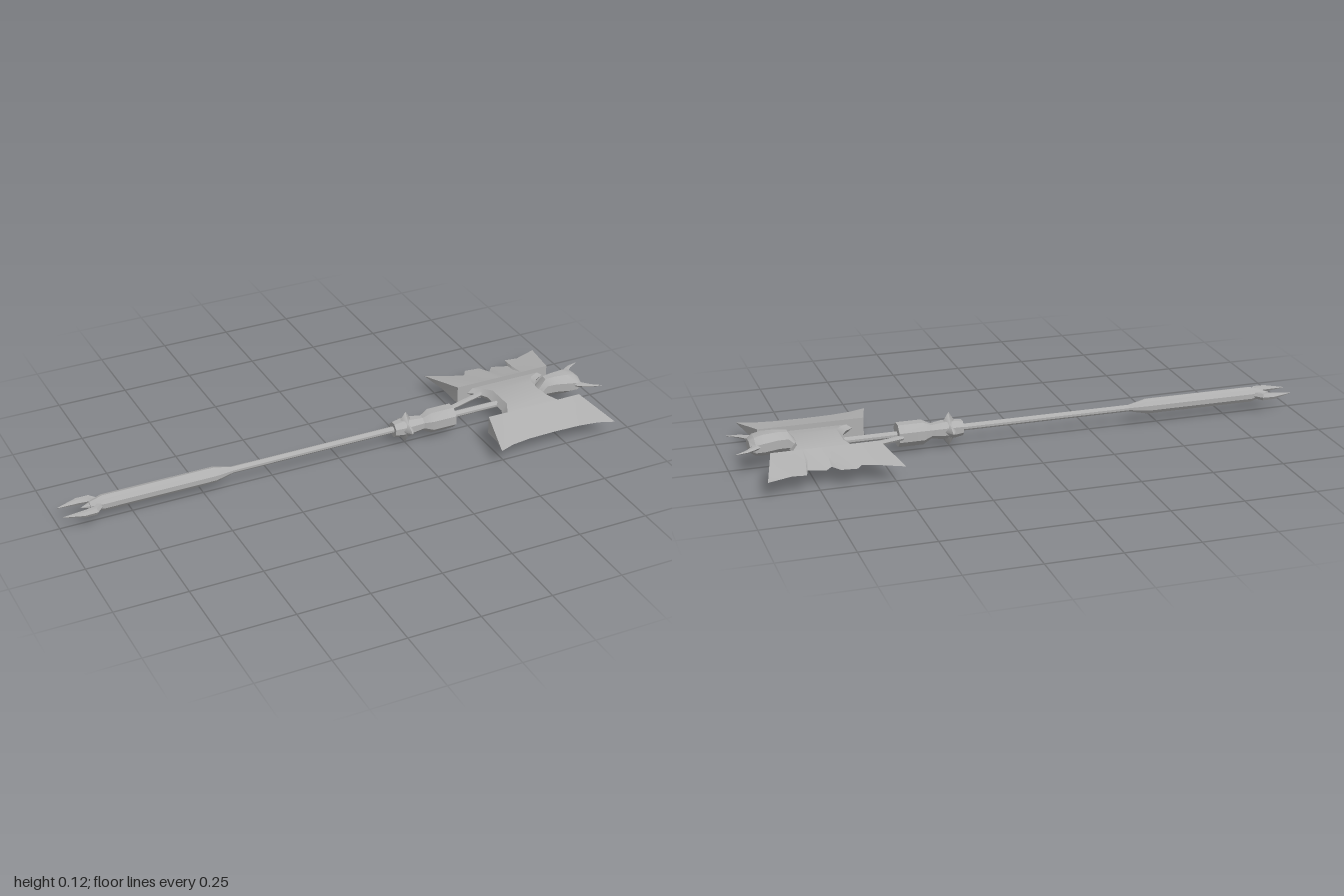
import * as THREE from 'three';
import { toCreasedNormals } from 'three/addons/utils/BufferGeometryUtils.js';

const AXIS = 0.063; // height of the shaft's centre line

// Closed solid through rings of [x, y, z] points, capped at both ends.
function loft(rings, crease = 0.6) {
  const n = rings[0].length, pos = rings.flat(2), idx = [];
  for (let r = 0; r < rings.length - 1; r++) {
    for (let i = 0; i < n; i++) {
      const a = r * n + i, b = r * n + (i + 1) % n;
      idx.push(a, b, a + n, b, b + n, a + n);
    }
  }
  const last = (rings.length - 1) * n;
  for (let i = 1; i < n - 1; i++) idx.push(0, i + 1, i, last, last + i, last + i + 1);
  // Turn all faces outward
  const v = i => new THREE.Vector3().fromArray(pos, i * 3);
  let volume = 0;
  for (let i = 0; i < idx.length; i += 3) volume += v(idx[i]).dot(v(idx[i + 1]).cross(v(idx[i + 2])));
  if (volume < 0) idx.reverse();
  const g = new THREE.BufferGeometry();
  g.setAttribute('position', new THREE.Float32BufferAttribute(pos, 3));
  g.setIndex(idx);
  return toCreasedNormals(g, crease);
}

// Turned part along x from [x, radius] pairs.
function turned(profile, sides) {
  const g = new THREE.LatheGeometry(profile.map(([x, r]) => new THREE.Vector2(r, x)), sides);
  g.rotateY(Math.PI / sides).rotateZ(-Math.PI / 2).scale(1, -1, -1).translate(0, AXIS, 0);
  return toCreasedNormals(g, 0.6);
}

// Tapered prong in a level plane through [x, z, radius] points.
function prong(points, y, flat = 1) {
  return loft(points.map(([x, z, r], i) => {
    const p = points[Math.max(i - 1, 0)], q = points[Math.min(i + 1, points.length - 1)];
    const d = new THREE.Vector2(q[0] - p[0], q[1] - p[1]).normalize();
    return Array.from({ length: 6 }, (_, k) => {
      const a = k * Math.PI / 3, s = Math.cos(a) * r;
      return [x - d.y * s, y + Math.sin(a) * r * flat, z + d.x * s];
    });
  }));
}

// Wedge blade from its cutting edge, given as [x, distance from the shaft].
function blade(edge, side) {
  const mid = 0.699, inner = 0.112, thick = 0.032;
  return loft(edge.map(([x, z]) => {
    const t = (x - mid) / 0.224;
    const xi = mid + t * 0.181, xm = mid + t * 0.195, zm = (inner + z) / 2;
    return [
      [xi, AXIS - 0.001 + thick, inner * side], [xm, AXIS - 0.001 + thick / 2, zm * side],
      [x, AXIS, z * side],
      [xm, AXIS - 0.001 - thick / 2, zm * side], [xi, AXIS - 0.001 - thick, inner * side]
    ];
  }), 0.5);
}

export function createModel() {
  const model = new THREE.Group();
  const steel = new THREE.MeshStandardMaterial({ color: 0xb0b0b0 });
  steel.name = 'grey';
  const add = (name, geometry) => {
    const mesh = new THREE.Mesh(geometry, steel);
    mesh.name = name;
    model.add(mesh);
    return mesh;
  };

  // Handle
  add('shaft', turned([[-0.45, 0], [-0.45, 0.012], [0.65, 0.012], [0.65, 0]], 10));
  add('grip', turned([[-0.90, 0], [-0.895, 0.014], [-0.85, 0.027], [-0.46, 0.027], [-0.395, 0.012], [-0.395, 0]], 10));
  add('buttPoint', turned([[-0.925, 0], [-0.89, 0.014], [-0.88, 0]], 8));

  // Spiked collar and socket
  add('spikedCollar', turned([[0.205, 0], [0.205, 0.027], [0.235, 0.032], [0.275, 0.032], [0.315, 0.026], [0.315, 0]], 8));
  for (let i = 0; i < 4; i++) {
    const spike = add('collarSpike', new THREE.ConeGeometry(0.026, 0.04, 4).translate(0, 0.04, 0));
    spike.position.set(0.252, AXIS, 0);
    spike.rotation.x = i * Math.PI / 2;
  }
  add('socket', turned([[0.315, 0], [0.315, 0.026], [0.345, 0.042], [0.432, 0.042], [0.432, 0]], 8));

  // Brace running from the socket to the back blade
  add('brace', prong([[0.42, -0.033, 0.009], [0.61, -0.09, 0.009]], AXIS));

  // Waisted head block: [z, x start, x end, bottom, top]
  const block = [
    [-0.114, 0.555, 0.865, 0.046, 0.076], [-0.09, 0.585, 0.825, 0.044, 0.08],
    [-0.05, 0.605, 0.80, 0.041, 0.087], [0.05, 0.605, 0.80, 0.041, 0.087],
    [0.09, 0.585, 0.825, 0.044, 0.08], [0.114, 0.555, 0.865, 0.046, 0.076]
  ];
  add('headBlock', loft(block.map(([z, a, b, lo, hi]) => {
    const m = (lo + hi) / 2, c = 0.02;
    return [[a, m, z], [a + c, hi, z], [b - c, hi, z], [b, m, z], [b - c, lo, z], [a + c, lo, z]];
  })));

  // Blades: a clean edge at the front, a chipped edge at the back
  add('frontBlade', blade([
    [0.475, 0.283], [0.53, 0.263], [0.6, 0.253], [0.7, 0.25], [0.8, 0.253], [0.868, 0.262], [0.923, 0.283]
  ], 1));
  add('backBlade', blade([
    [0.475, 0.283], [0.55, 0.247], [0.607, 0.227], [0.625, 0.254], [0.68, 0.248], [0.702, 0.212], [0.725, 0.238],
    [0.782, 0.218], [0.793, 0.26], [0.84, 0.254], [0.923, 0.283]
  ], -1));

  // Nose cap: [x, half width, bottom, top]
  const cap = [
    [0.775, 0.028, 0.05, 0.086], [0.802, 0.028, 0.05, 0.122], [0.835, 0.034, 0.052, 0.125],
    [0.885, 0.048, 0.052, 0.124], [0.915, 0.05, 0.056, 0.117], [0.932, 0.036, 0.068, 0.104]
  ];
  add('noseCap', loft(cap.map(([x, w, lo, hi]) => Array.from({ length: 8 }, (_, k) => {
    const a = (k + 0.5) * Math.PI / 4, s = 1.082;
    return [x, (lo + hi) / 2 + Math.sin(a) * s * (hi - lo) / 2, Math.cos(a) * s * w];
  }))));

  // Horns at the nose and claws at the butt, mirrored
  for (const s of [-1, 1]) {
    add('horn', prong([[0.895, 0.03 * s, 0.013], [0.925, 0.056 * s, 0.011], [0.95, 0.075 * s, 0.007], [0.988, 0.09 * s, 0.001]], 0.092, 0.7));
    add('claw', prong([[-0.865, 0.014 * s, 0.012], [-0.887, 0.037 * s, 0.014], [-0.925, 0.04 * s, 0.012], [-0.994, 0.03 * s, 0.001]], AXIS));
  }
  return model;
}
